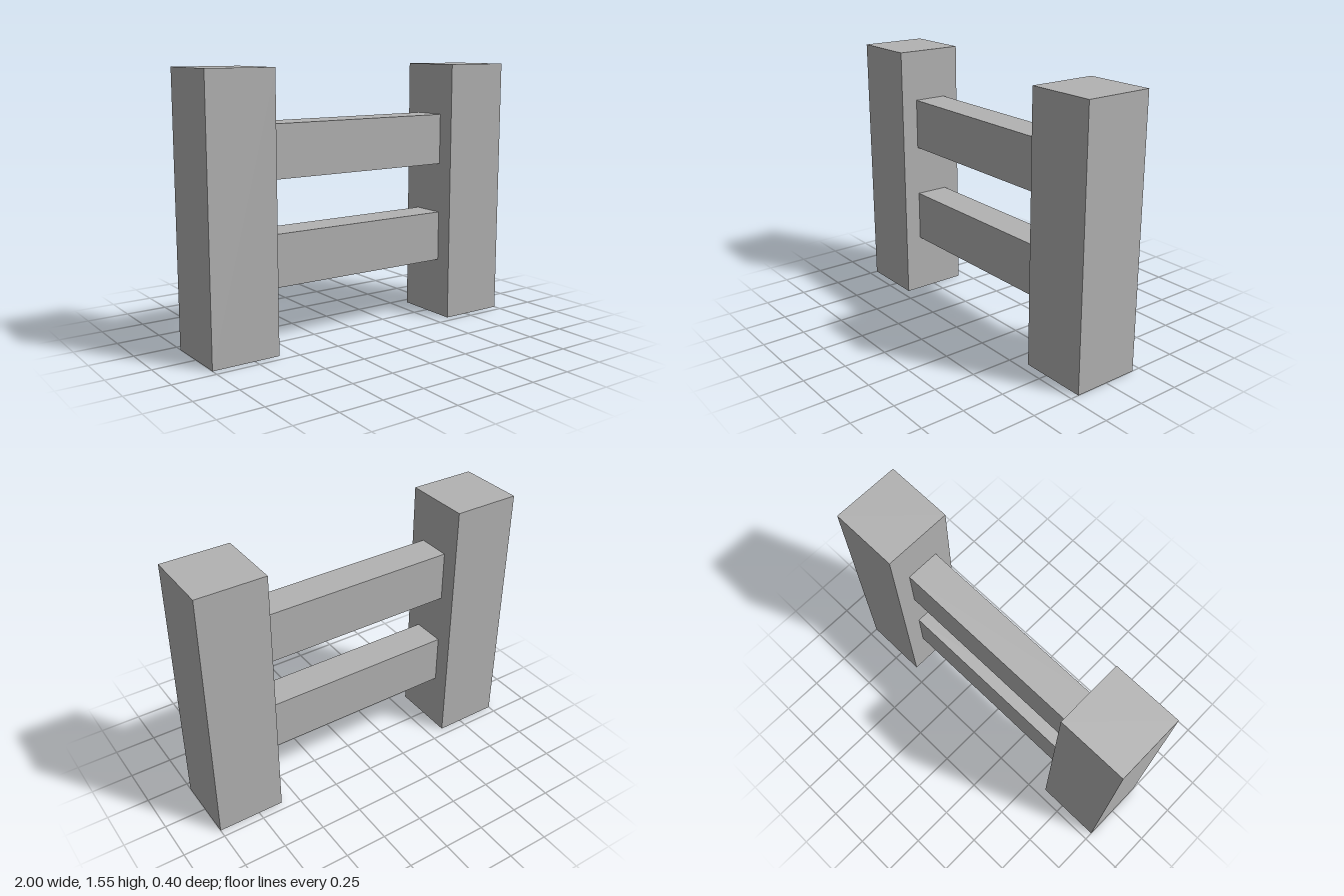
import * as THREE from 'three';

export function createModel() {
  const model = new THREE.Group();
  model.name = 'fence';
  const grey = new THREE.MeshStandardMaterial({ name: 'grey', color: 0xb2b2b2 });

  const addBox = (name, size, position) => {
    const mesh = new THREE.Mesh(new THREE.BoxGeometry(...size), grey);
    mesh.name = name;
    mesh.position.set(...position);
    model.add(mesh);
  };

  // Square posts at both ends
  for (const [name, side] of [['leftPost', 1], ['rightPost', -1]]) {
    addBox(name, [0.4, 1.55, 0.4], [side * 0.8, 0.775, 0]);
  }

  // Horizontal rails spanning between the posts
  for (const [name, y] of [['lowerRail', 0.5], ['upperRail', 1.1]]) {
    addBox(name, [1.2, 0.3, 0.2], [0, y, 0]);
  }

  return model;
}
